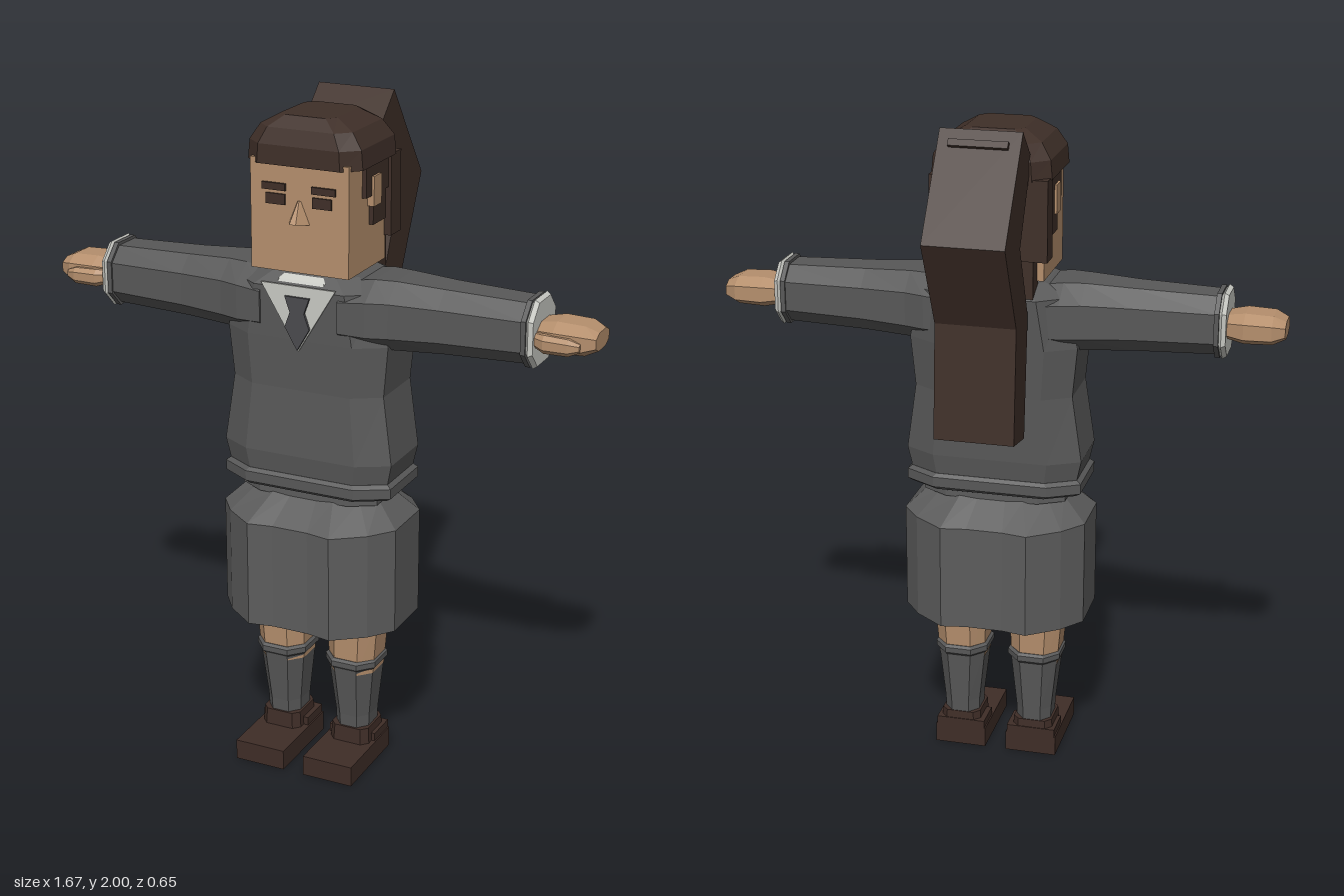
import * as THREE from 'three';

const mat = (name, color) => {
  const m = new THREE.MeshStandardMaterial({ color });
  m.name = name;
  return m;
};

// Repeats a quarter outline around all four quadrants.
function section(q) {
  const r = [...q].reverse();
  return [
    ...q,
    ...r.map(([x, z]) => [-x, z]),
    ...q.map(([x, z]) => [-x, -z]),
    ...r.map(([x, z]) => [x, -z]),
  ];
}
const octagon = (c) => section([[1, c], [c, 1]]);

// Faceted skin over rings [y, halfX, halfZ, shiftX, shiftZ].
function loft(rings, outline = octagon(0.5), caps = true) {
  const n = outline.length, pos = [], idx = [];
  for (const [y, rx, rz, cx = 0, cz = 0] of rings)
    for (const [x, z] of outline) pos.push(cx + x * rx, y, cz + z * rz);
  for (let i = 0; i < rings.length - 1; i++)
    for (let j = 0; j < n; j++) {
      const a = i * n + j, b = i * n + (j + 1) % n;
      idx.push(a, a + n, b, b, a + n, b + n);
    }
  if (caps) {
    const t = (rings.length - 1) * n;
    for (let j = 1; j < n - 1; j++) idx.push(0, j, j + 1, t, t + j + 1, t + j);
  }
  const g = new THREE.BufferGeometry();
  g.setAttribute('position', new THREE.Float32BufferAttribute(pos, 3));
  g.setIndex(idx);
  const flat = g.toNonIndexed();
  flat.computeVertexNormals();
  return flat;
}

// Box given by its extents.
function block(x0, x1, y0, y1, z0, z1) {
  return new THREE.BoxGeometry(x1 - x0, y1 - y0, z1 - z0)
    .translate((x0 + x1) / 2, (y0 + y1) / 2, (z0 + z1) / 2);
}

// Flat outline given depth along z.
function plate(points, depth, z = 0) {
  const shape = new THREE.Shape(points.map(([x, y]) => new THREE.Vector2(x, y)));
  return new THREE.ExtrudeGeometry(shape, { depth, bevelEnabled: false }).translate(0, 0, z);
}

export function createModel() {
  const model = new THREE.Group();
  const skin = mat('skin', 0xb58f6d);
  const hair = mat('brown hair', 0x3f2f28);
  const wool = mat('grey wool', 0x585858);
  const cloth = mat('grey skirt cloth', 0x5c5c5c);
  cloth.side = THREE.DoubleSide;
  const shirt = mat('white shirt', 0xc8c9c3);
  const tieCloth = mat('dark tie', 0x4a4a4e);
  const leather = mat('brown leather', 0x3f2d27);
  const add = (name, geometry, material, parent = model) => {
    const m = new THREE.Mesh(geometry, material);
    m.name = name;
    parent.add(m);
    return m;
  };
  const Z = 0.105;

  // Skirt, open underneath, with shallow folds front and back
  const folds = section([[1, 0.38], [0.8, 0.7], [0.47, 1], [0.2, 0.94]]);
  add('skirt', loft([
    [0.48, 0.277, 0.225, 0, Z], [0.8, 0.277, 0.225, 0, Z],
    [0.87, 0.205, 0.125, 0, Z],
  ], folds, false), cloth);
  add('waistband', loft([[0.865, 0.215, 0.125, 0, Z], [0.9, 0.215, 0.125, 0, Z]], octagon(0.65)), cloth);

  // Jumper body and hem
  add('jumper', loft([
    [0.93, 0.25, 0.138, 0, Z], [1.0, 0.265, 0.146, 0, Z], [1.2, 0.236, 0.142, 0, 0.1],
    [1.35, 0.25, 0.147, 0, 0.1], [1.5, 0.215, 0.152, 0, 0.097], [1.535, 0.15, 0.11, 0, 0.1],
  ], octagon(0.65)), wool);
  add('jumperHem', loft([
    [0.89, 0.25, 0.14, 0, Z], [0.9, 0.265, 0.15, 0, Z],
    [0.93, 0.265, 0.15, 0, Z], [0.94, 0.252, 0.14, 0, Z],
  ], octagon(0.65)), wool);

  // Shirt front, collar and tie
  add('shirtFront', plate([[0, 1.32], [0.115, 1.51], [-0.115, 1.51]], 0.006, 0.247), shirt);
  add('collar', loft([
    [1.49, 0.125, 0.145, 0, Z], [1.52, 0.115, 0.125, 0, Z], [1.545, 0.085, 0.09, 0, Z],
  ], octagon(0.6)), shirt);
  add('tie', plate([
    [0, 1.325], [0.038, 1.39], [0.022, 1.435], [0.038, 1.48],
    [-0.038, 1.48], [-0.022, 1.435], [-0.038, 1.39],
  ], 0.009, 0.252), tieCloth);

  // Head and face
  add('neck', loft([[1.48, 0.06, 0.06, 0, 0.11], [1.58, 0.06, 0.06, 0, 0.11]]), skin);
  add('head', block(-0.15, 0.15, 1.545, 1.86, 0, 0.24), skin);
  const nose = plate([[-0.033, 1.685], [0.033, 1.685], [0.006, 1.75], [-0.006, 1.75]], 0.045, 0.238);
  const np = nose.attributes.position;
  for (let i = 0; i < np.count; i++) {
    if (np.getZ(i) > 0.25) {
      np.setX(i, np.getX(i) * 0.3);
      if (np.getY(i) > 1.72) np.setZ(i, 0.245);
      else np.setY(i, 1.693);
    }
  }
  nose.computeVertexNormals();
  add('nose', nose, skin);

  // Crown, back hair and nape
  add('hairCrown', loft([
    [1.845, 0.175, 0.152, 0, 0.095], [1.9, 0.17, 0.151, 0, 0.095],
    [1.945, 0.14, 0.132, 0, 0.1], [1.976, 0.085, 0.095, 0, 0.105],
  ], octagon(0.72)), hair);
  add('backHair', block(-0.172, 0.172, 1.615, 1.85, -0.055, 0.01), hair);
  add('napeHair', block(-0.13, 0.13, 1.5, 1.62, -0.05, 0.012), hair);

  // Ponytail bent twice, drawn in side profile
  const tail = plate([
    [-0.125, 2.0], [-0.03, 1.91], [-0.155, 1.68], [-0.06, 1.46],
    [-0.095, 1.1], [-0.218, 1.12], [-0.195, 1.46], [-0.325, 1.72],
  ], 0.236, -0.118).rotateY(-Math.PI / 2);
  add('ponytail', tail, hair);
  const band = add('hairTie', new THREE.BoxGeometry(0.17, 0.02, 0.02), hair);
  band.position.set(0, 1.965, -0.155);
  band.rotation.x = -0.95;

  for (const s of [1, -1]) {
    const side = s > 0 ? 'left' : 'right';
    const both = (x0, x1, ...r) => block(Math.min(s * x0, s * x1), Math.max(s * x0, s * x1), ...r);

    // Eyes, brows, ears and side hair
    add(side + 'Eye', both(0.042, 0.1, 1.735, 1.765, 0.239, 0.246), hair);
    add(side + 'Brow', both(0.04, 0.112, 1.775, 1.795, 0.239, 0.248), hair);
    add(side + 'Ear', both(0.15, 0.17, 1.725, 1.81, 0.07, 0.12), skin);
    add(side + 'Temple', both(0.148, 0.163, 1.755, 1.85, 0, 0.155), hair);
    add(side + 'SideLock', both(0.148, 0.163, 1.67, 1.76, 0.025, 0.11), hair);

    // Arm parts are skinned upright, then laid out along x
    const limb = (name, rings, material, outline) => add(side + name,
      loft(rings.map(([y, h, d, up = 0, z = 0]) => [y, h, d, -s * up, z]), outline)
        .rotateZ(-s * Math.PI / 2).translate(0, 1.435, Z), material);
    limb('Sleeve', [
      [0.12, 0.09, 0.15], [0.2, 0.1, 0.138], [0.26, 0.1, 0.12], [0.4, 0.093, 0.1], [0.65, 0.086, 0.086],
    ], wool);
    limb('SleeveCuff', [[0.638, 0.095, 0.092], [0.652, 0.095, 0.092]], wool);
    limb('ShirtCuff', [[0.652, 0.088, 0.085], [0.66, 0.098, 0.094], [0.672, 0.09, 0.087]], shirt);
    limb('Hand', [
      [0.65, 0.032, 0.055], [0.72, 0.045, 0.078], [0.8, 0.042, 0.076], [0.836, 0.026, 0.055],
    ].map((r) => [...r, -0.003, -0.007]), skin);
    limb('Thumb', [
      [0.66, 0.018, 0.02, -0.008, 0.05], [0.7, 0.026, 0.025, -0.012, 0.066],
      [0.77, 0.024, 0.022, -0.012, 0.07], [0.8, 0.012, 0.012, -0.012, 0.066],
    ], skin);

    // Leg, sock and shoe
    const lx = s * 0.115;
    add(side + 'Leg', loft([
      [0.3, 0.072, 0.078, lx, Z], [0.48, 0.082, 0.086, s * 0.12, Z], [0.84, 0.088, 0.09, s * 0.12, Z],
    ]), skin);
    add(side + 'Sock', loft([
      [0.08, 0.052, 0.06, lx, 0.1], [0.15, 0.055, 0.064, lx, 0.1], [0.33, 0.074, 0.082, lx, Z],
    ]), wool);
    add(side + 'SockCuff', loft([
      [0.315, 0.074, 0.083, lx, Z], [0.323, 0.081, 0.09, lx, Z],
      [0.34, 0.081, 0.09, lx, Z], [0.347, 0.073, 0.082, lx, Z],
    ]), wool);
    add(side + 'ShoeToe', both(0.033, 0.192, 0, 0.062, 0.032, 0.306), leather);
    add(side + 'ShoeHeel', both(0.037, 0.188, 0.05, 0.087, 0.032, 0.13), leather);
    add(side + 'ShoeCollar', loft([
      [0.05, 0.064, 0.07, lx, 0.102], [0.112, 0.06, 0.066, lx, 0.102],
    ], octagon(0.7)), leather);
  }
  return model;
}
